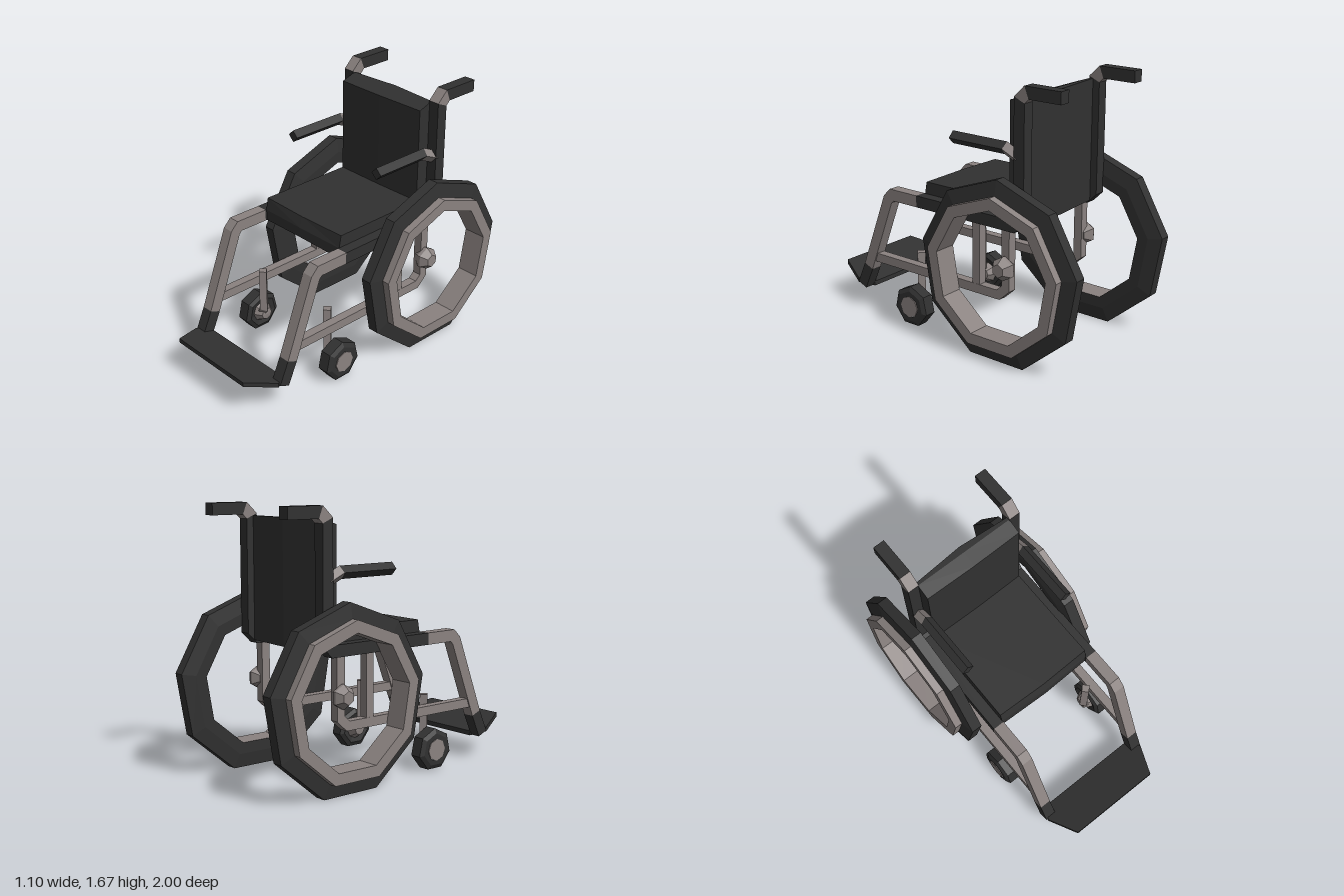
import * as THREE from 'three';

const material = (name, color) => {
  const m = new THREE.MeshStandardMaterial({ color });
  m.name = name;
  return m;
};

// Flat-faced skin over rings of points (counter-clockwise about the direction of travel);
// each span between rings gets its own material, and both ends are capped.
function loft(name, rings, mats) {
  const palette = [...new Set(mats)], pos = [], n = rings[0].length;
  const geo = new THREE.BufferGeometry();
  const face = (...pts) => pts.forEach((p) => pos.push(p.x, p.y, p.z));
  const cap = (ring) => { for (let k = 1; k < n - 1; k++) face(ring[0], ring[k], ring[k + 1]); };
  const last = rings.length - 2;
  for (let i = 0; i <= last; i++) {
    const start = pos.length / 3, A = rings[i], B = rings[i + 1];
    if (i === 0) cap([...A].reverse());
    for (let k = 0; k < n; k++) {
      const j = (k + 1) % n;
      face(A[k], A[j], B[j]);
      face(A[k], B[j], B[k]);
    }
    if (i === last) cap(B);
    geo.addGroup(start, pos.length / 3 - start, palette.indexOf(mats[i]));
  }
  geo.setAttribute('position', new THREE.Float32BufferAttribute(pos, 3));
  geo.computeVertexNormals();
  const mesh = new THREE.Mesh(geo, palette.length > 1 ? palette : palette[0]);
  mesh.name = name;
  return mesh;
}

// Mitred four-sided bar along a planar path; normal is perpendicular to that plane
function bar(name, path, normal, radius, mats, diamond = false) {
  const pts = path.map((p) => new THREE.Vector3(...p));
  const rings = pts.map((p, i) => {
    const before = p.clone().sub(pts[Math.max(i - 1, 0)]).normalize();
    const after = pts[Math.min(i + 1, pts.length - 1)].clone().sub(p).normalize();
    const t = before.clone().add(after).normalize();
    const miter = 1 / t.dot(i ? before : after);
    const v = t.clone().cross(normal).multiplyScalar(miter);
    return [0, 1, 2, 3].map((k) => {
      const a = (k + (diamond ? 0 : 0.5)) * Math.PI / 2;
      return p.clone().addScaledVector(normal, radius * Math.cos(a))
        .addScaledVector(v, radius * Math.sin(a));
    });
  });
  return loft(name, rings, Array.isArray(mats) ? mats : pts.slice(1).map(() => mats));
}

// Faceted turned part about the x axis; profile is [radius, distance outwards]
function turned(name, profile, sides, side, y, z, mat) {
  const pts = profile.map((p) => new THREE.Vector2(...p));
  const geo = new THREE.LatheGeometry(pts, sides, -side * Math.PI / 2)
    .rotateZ(-side * Math.PI / 2).toNonIndexed();
  geo.computeVertexNormals();
  const mesh = new THREE.Mesh(geo, mat);
  mesh.name = name;
  mesh.position.set(0, y, z);
  return mesh;
}

export function createModel() {
  const black = material('black', 0x313131);
  const grey = material('warmGrey', 0x8a8280);
  const model = new THREE.Group();
  model.name = 'wheelchair';
  const X = new THREE.Vector3(1, 0, 0), Z = new THREE.Vector3(0, 0, 1);

  // Cushions: a [y, z] section carried across x, bowed in the middle
  const cushion = (name, section, bowed) => {
    const rings = [-0.335, 0, 0.335].map((x) =>
      (x === 0 ? bowed : section).map(([y, z]) => new THREE.Vector3(x, y, z)));
    model.add(loft(name, rings, [black, black]));
  };
  cushion('seat',
    [[0.8, -0.42], [0.95, -0.42], [0.95, 0.24], [0.87, 0.255], [0.8, 0.255]],
    [[0.815, -0.42], [0.95, -0.42], [0.95, 0.25], [0.88, 0.27], [0.815, 0.27]]);
  cushion('backrest',
    [[0.82, -0.52], [1.59, -0.52], [1.59, -0.5], [1.56, -0.41], [0.82, -0.41]],
    [[0.82, -0.545], [1.59, -0.545], [1.59, -0.5], [1.56, -0.405], [0.82, -0.405]]);

  // Footplate, tapering to the front
  const plate = [[0.72, 0.155, 0.335], [0.805, 0.18, 0.4], [1.0, 0.235, 0.31]].map(([z, y, w]) =>
    [[-w, -0.015], [w, -0.015], [w, 0.015], [-w, 0.015]]
      .map(([x, dy]) => new THREE.Vector3(x, y + dy, z)));
  model.add(loft('footplate', plate, [black, black]));

  for (const s of [1, -1]) {
    const half = new THREE.Group();
    half.name = s > 0 ? 'leftSide' : 'rightSide';
    model.add(half);
    const at = (x, ...yz) => yz.map(([y, z]) => [s * x, y, z]);

    half.add(
      // One bent tube: push handle, back post, seat rail, leg and foot end
      bar('mainFrame', at(0.369, [1.635, -0.815], [1.635, -0.58], [1.587, -0.53], [0.88, -0.53],
        [0.835, -0.485], [0.835, 0.265], [0.835, 0.475], [0.8, 0.51], [0.305, 0.7], [0.16, 0.765]),
      X, 0.0525, [black, grey, black, black, black, grey, grey, grey, black]),
      bar('armrest', at(0.37, [1.285, -0.01], [1.285, -0.41], [1.24, -0.51]),
        X, 0.039, [black, grey], true),
      // Lower frame and its uprights
      bar('lowerFrame', at(0.369, [0.38, 0.67], [0.38, -0.375], [0.43, -0.43], [0.82, -0.43]),
        X, 0.041, grey),
      bar('upright', at(0.369, [0.38, -0.205], [0.82, -0.205]), X, 0.039, grey),
      // Caster and its stem
      bar('casterStem', [[s * 0.305, 0.465, 0.325], [s * 0.305, 0.18, 0.325], [s * 0.35, 0.13, 0.325]],
        Z, 0.034, grey, true),
      turned('casterTyre', [[0, 0.345], [0.07, 0.345], [0.105, 0.335], [0.134, 0.35], [0.134, 0.425],
        [0.105, 0.44], [0.07, 0.44]], 7, s, 0.132, 0.31, black),
      turned('casterHub', [[0, 0.29], [0.04, 0.295], [0.07, 0.345], [0.07, 0.445], [0, 0.445]],
        8, s, 0.132, 0.31, grey),
      // Large wheel: tyre, rim and axle knob
      turned('wheelTyre', [[0.41, 0.4], [0.485, 0.4], [0.58, 0.415], [0.58, 0.485], [0.485, 0.5]],
        9, s, 0.545, -0.43, black),
      turned('wheelRim', [[0.485, 0.5], [0.485, 0.55], [0.41, 0.55], [0.41, 0.4]],
        9, s, 0.545, -0.43, grey),
      turned('axleKnob', [[0, 0.36], [0.04, 0.36], [0.076, 0.405], [0.076, 0.425], [0.042, 0.47], [0, 0.47]],
        6, s, 0.565, -0.43, grey),
    );
  }
  return model;
}
